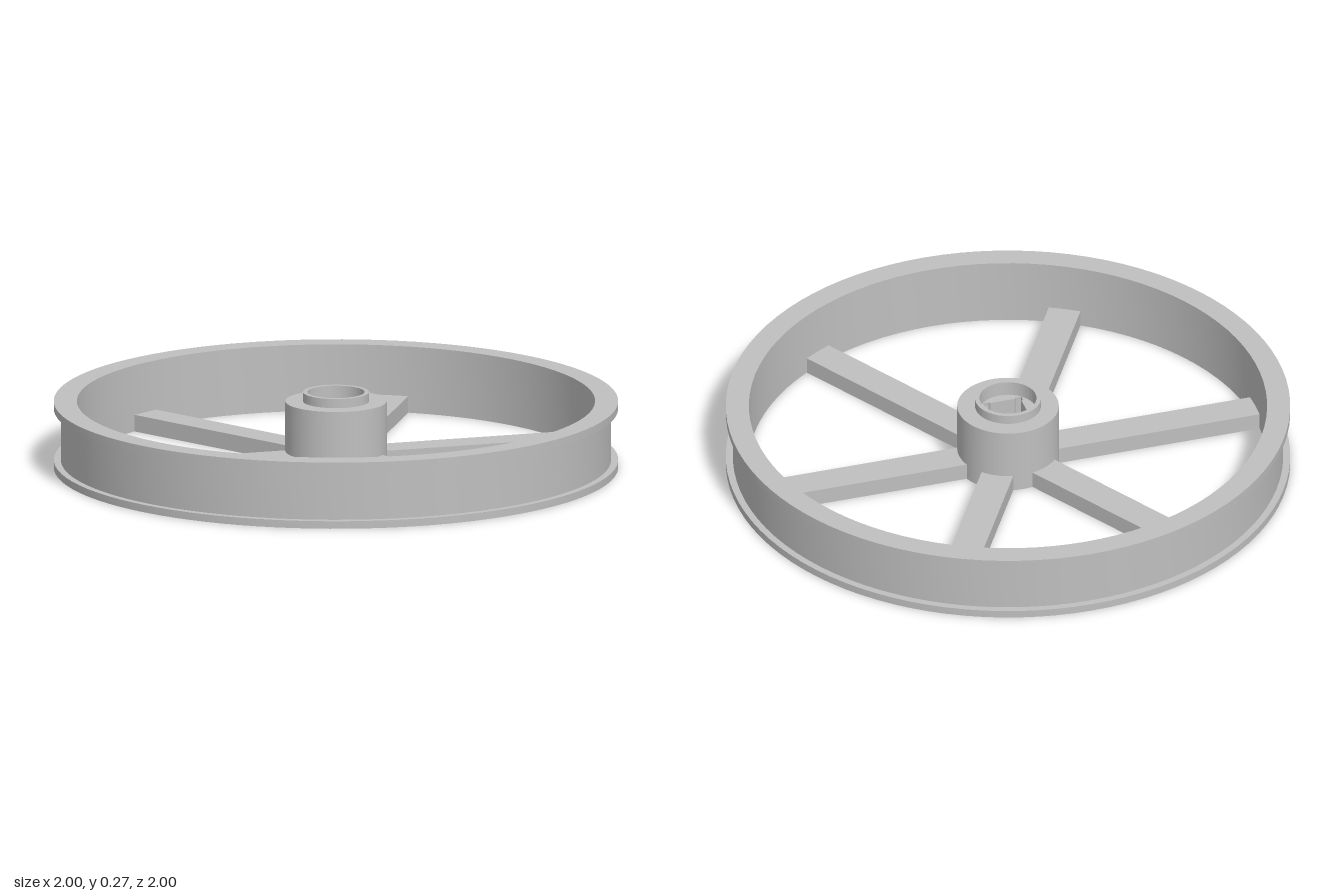
import * as THREE from 'three';
import { toCreasedNormals } from 'three/addons/utils/BufferGeometryUtils.js';

const SEGMENTS = 96;

// Revolves [radius, height] pairs, keeping the profile corners sharp.
function revolve(profile) {
  const points = profile.map(([r, y]) => new THREE.Vector2(r, y));
  return toCreasedNormals(new THREE.LatheGeometry(points, SEGMENTS), Math.PI / 6);
}

export function createModel() {
  const wheel = new THREE.Group();
  wheel.name = 'spokedWheel';
  const grey = new THREE.MeshStandardMaterial({ color: 0xbfbfbf });
  grey.name = 'grey';

  function add(name, geometry) {
    const mesh = new THREE.Mesh(geometry, grey);
    mesh.name = name;
    wheel.add(mesh);
    return mesh;
  }

  // Rim: plain inner wall, shallow groove between two outer flanges
  add('rim', revolve([
    [0.918, 0], [1, 0], [1, 0.027], [0.975, 0.027],
    [0.975, 0.213], [1, 0.213], [1, 0.24], [0.918, 0.24], [0.918, 0],
  ]));

  // Six flat spokes, flush with the underside
  const innerR = 0.165, outerR = 0.93, spokeHeight = 0.06;
  for (let i = 0; i < 6; i++) {
    const geometry = new THREE.BoxGeometry(outerR - innerR, spokeHeight, 0.115);
    geometry.translate((innerR + outerR) / 2, spokeHeight / 2, 0);
    add(`spoke${i + 1}`, geometry).rotation.y = (i * Math.PI) / 3;
  }

  // Hub body with a square axle hole, relieved at its corners
  const shape = new THREE.Shape();
  shape.absarc(0, 0, 0.18, 0, Math.PI * 2, false);
  const side = 0.064, relief = 0.071, notch = 0.045;
  const corner = [[side, notch], [relief, notch + 0.006], [relief, relief],
    [notch + 0.006, relief], [notch, side]];
  const outline = [];
  for (let q = 0; q < 4; q++) {
    for (const [x, y] of corner) {
      outline.push(new THREE.Vector2(x, y).rotateAround(new THREE.Vector2(), (q * Math.PI) / 2));
    }
  }
  shape.holes.push(new THREE.Path(outline));
  const body = new THREE.ExtrudeGeometry(shape, {
    depth: 0.22, bevelEnabled: false, curveSegments: SEGMENTS,
  });
  body.rotateX(-Math.PI / 2);
  add('hub', toCreasedNormals(body, Math.PI / 8));

  // Hub top with a raised, counterbored boss
  add('hubBoss', revolve([
    [0.18, 0.22], [0.18, 0.24], [0.117, 0.24], [0.117, 0.273], [0.101, 0.273], [0.101, 0.22],
  ]));

  return wheel;
}
